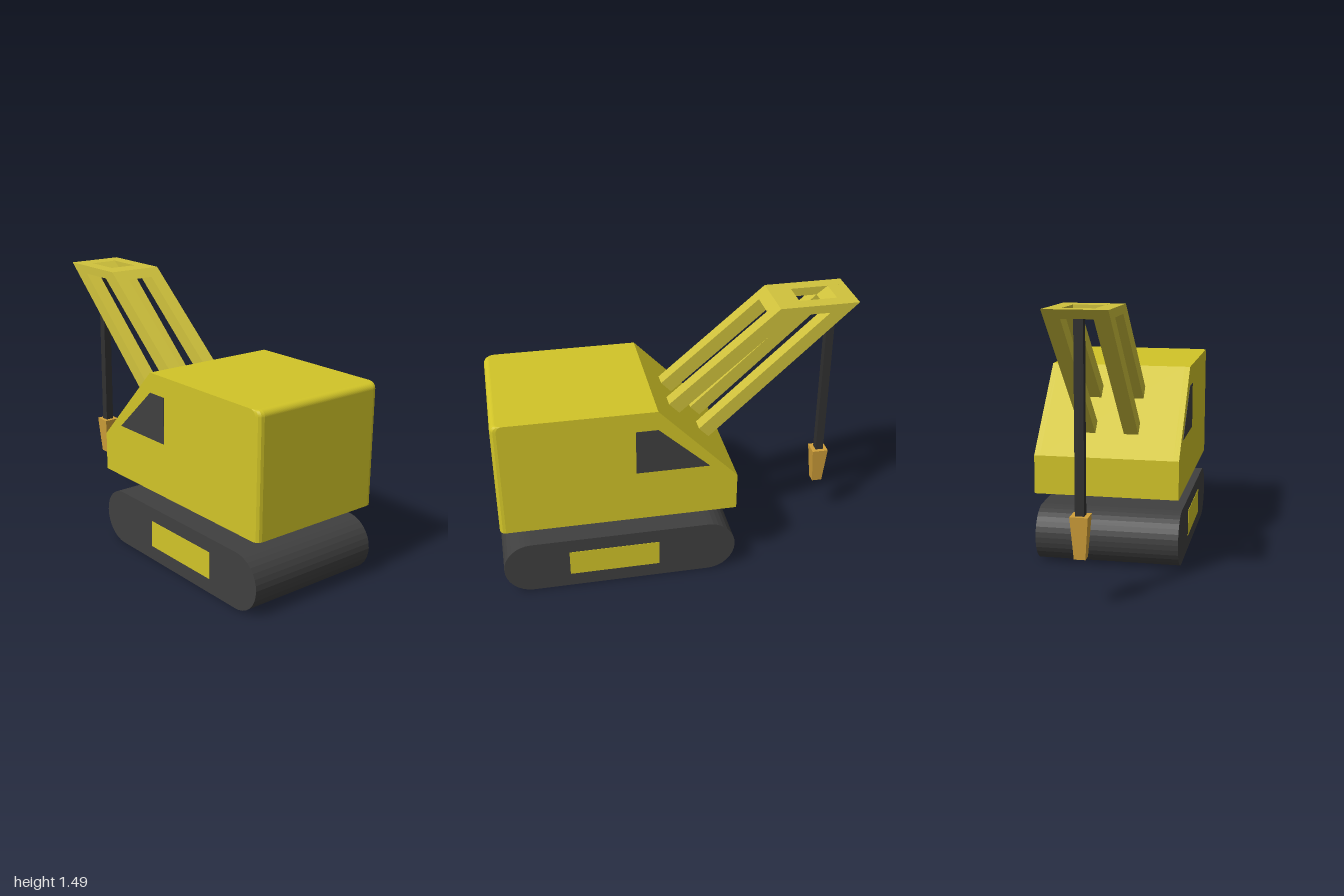
import * as THREE from 'three';

const paint = (color) => new THREE.MeshStandardMaterial({ color, flatShading: true });
const BODY = paint(0xd2c528), BOOM = paint(0xd0c23c), DARK = paint(0x404040);
const CABLE = paint(0x303030), HOOK = paint(0xd0a03a);

const shapeOf = (pts) => new THREE.Shape(pts.map(([x, y]) => new THREE.Vector2(x, y)));

// Extrude a side profile between two z values
function slab(name, shape, z0, z1, material, parent, options = {}) {
  const geo = new THREE.ExtrudeGeometry(shape, { depth: z1 - z0, bevelEnabled: false, curveSegments: 8, ...options });
  geo.translate(0, 0, z0);
  const mesh = new THREE.Mesh(geo, material);
  mesh.name = name;
  parent.add(mesh);
  return mesh;
}

function box(name, x0, x1, y0, y1, halfZ, material, parent) {
  const mesh = new THREE.Mesh(new THREE.BoxGeometry(x1 - x0, y1 - y0, 2 * halfZ), material);
  mesh.position.set((x0 + x1) / 2, (y0 + y1) / 2, 0);
  mesh.name = name;
  parent.add(mesh);
}

function addUndercarriage(root) {
  const r = 0.155;
  const track = new THREE.Shape();
  track.absarc(1 - r, r, r, -Math.PI / 2, Math.PI / 2, false);
  track.absarc(-0.3 + r, r, r, Math.PI / 2, Math.PI * 1.5, false);
  slab('track', track, -0.4, 0.4, DARK, root);
  box('trackPanels', 0.135, 0.638, 0.08, 0.23, 0.402, BODY, root);
  box('turntable', 0.27, 0.5, 0.3, 0.42, 0.182, BODY, root);
}

function addCab(root) {
  const r = 0.032;
  const profile = new THREE.Shape();
  profile.moveTo(-0.3, 0.41);
  profile.lineTo(1, 0.41);
  profile.lineTo(1, 1.075 - r);
  profile.absarc(1 - r, 1.075 - r, r, 0, Math.PI / 2, false);
  profile.lineTo(0.135, 1.075);
  profile.lineTo(-0.3, 0.625);
  profile.closePath();

  // Respace the slices so the upright rear edges become rounded
  const angles = [0, 30, 60, 90].map((a) => THREE.MathUtils.degToRad(a));
  const half = angles.map((a) => ({ z: -0.4 + r * (1 - Math.cos(a)), inset: r * (1 - Math.sin(a)) }));
  const slices = [...half, ...half.map((s) => ({ z: -s.z, inset: s.inset })).reverse()];
  const steps = slices.length - 1;
  const cab = slab('cab', profile, 0, 0.8, BODY, root, { steps });
  const pos = cab.geometry.attributes.position;
  for (let i = 0; i < pos.count; i++) {
    const { z, inset } = slices[Math.round((pos.getZ(i) / 0.8) * steps)];
    if (pos.getX(i) > 0.9) pos.setX(i, pos.getX(i) - inset);
    pos.setZ(i, z);
  }
  cab.geometry.computeVertexNormals();

  const pane = shapeOf([[-0.145, 0.708], [0.255, 0.708], [0.255, 0.965], [0.135, 0.965]]);
  for (const s of [-1, 1]) slab('window', pane, s * 0.4 - 0.002, s * 0.4 + 0.002, DARK, root);
}

function addBoom(root) {
  const boom = new THREE.Group();
  boom.name = 'boom';
  root.add(boom);
  // Side frames: lower bar, flat head and upper bar in one outline
  const frame = shapeOf([
    [-1, 1.485], [-0.19, 0.74], [-0.135, 0.795], [-0.84, 1.437], [-0.635, 1.437],
    [-0.02, 0.908], [0.035, 0.968], [-0.565, 1.482],
  ]);
  slab('boomSide', frame, 0.08, 0.16, BOOM, boom);
  slab('boomSide', frame, -0.16, -0.08, BOOM, boom);
  // Cross pieces either side of the head opening
  const tip = shapeOf([[-1, 1.485], [-0.948, 1.437], [-0.84, 1.437], [-0.9, 1.484]]);
  const rear = shapeOf([[-0.69, 1.483], [-0.69, 1.437], [-0.512, 1.437], [-0.565, 1.482]]);
  slab('boomTip', tip, -0.08, 0.08, BOOM, boom);
  slab('boomCrossPiece', rear, -0.08, 0.08, BOOM, boom);
}

function addHoist(root) {
  box('cable', -0.922, -0.877, 0.47, 1.44, 0.0235, CABLE, root);
  // Square block tapering downwards
  const geo = new THREE.CylinderGeometry(0.046 * Math.SQRT2, 0.029 * Math.SQRT2, 0.218, 4);
  geo.rotateY(Math.PI / 4);
  const weight = new THREE.Mesh(geo, HOOK);
  weight.position.set(-0.899, 0.371, 0);
  weight.name = 'hoistWeight';
  root.add(weight);
}

export function createModel() {
  const root = new THREE.Group();
  root.name = 'crane';
  addUndercarriage(root);
  addCab(root);
  addBoom(root);
  addHoist(root);
  return root;
}
